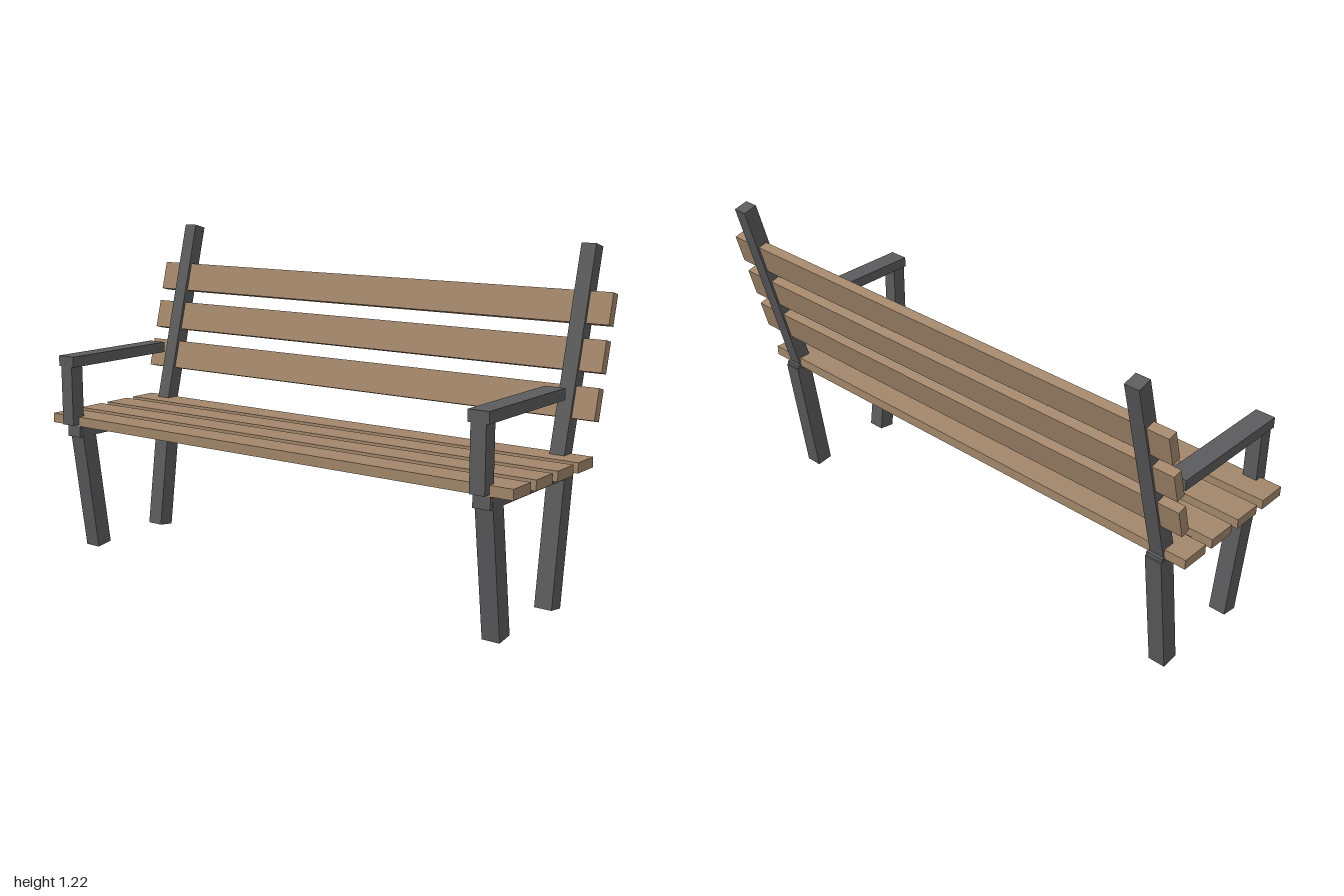
import * as THREE from 'three';

export function createModel() {
  const bench = new THREE.Group();
  bench.name = 'bench';

  const wood = new THREE.MeshStandardMaterial({ color: 0xa2866a });
  wood.name = 'wood';
  const steel = new THREE.MeshStandardMaterial({ color: 0x5b5b5d });
  steel.name = 'dark steel';

  // Box of a given size, centred at a point and tilted about the x axis
  function bar(parent, name, material, size, position, tilt = 0) {
    const mesh = new THREE.Mesh(new THREE.BoxGeometry(...size), material);
    mesh.name = name;
    mesh.position.set(...position);
    mesh.rotation.x = tilt;
    parent.add(mesh);
  }

  const lean = THREE.MathUtils.degToRad(15); // backrest
  const splay = THREE.MathUtils.degToRad(8); // legs

  // Seat slats
  for (let i = 0; i < 4; i++) {
    bar(bench, 'seatSlat', wood, [2, 0.036, 0.11], [0, 0.512, 0.3 - i * 0.145]);
  }

  // Backrest slats, set within the depth of the leaning posts
  for (let i = 0; i < 3; i++) {
    bar(bench, 'backSlat', wood, [2, 0.11, 0.036], [0, 0.699 + i * 0.155, -0.2195 - i * 0.0415], -lean);
  }

  // Matching end frames
  for (const side of [-1, 1]) {
    const frame = new THREE.Group();
    frame.name = side > 0 ? 'leftFrame' : 'rightFrame';
    frame.position.x = side * 0.89;
    bench.add(frame);

    bar(frame, 'seatRail', steel, [0.063, 0.05, 0.56], [0, 0.475, 0.075]);
    bar(frame, 'frontLeg', steel, [0.065, 0.49, 0.065], [0, 0.248, 0.277], splay);
    bar(frame, 'rearLeg', steel, [0.065, 0.49, 0.065], [0, 0.248, -0.144], -splay);
    bar(frame, 'backPost', steel, [0.055, 0.75, 0.055], [0, 0.854, -0.259], -lean);
    bar(frame, 'armPost', steel, [0.055, 0.23, 0.055], [0, 0.615, 0.356]);
    bar(frame, 'armRest', steel, [0.075, 0.04, 0.5], [0, 0.744, 0.134]);
  }

  return bench;
}
